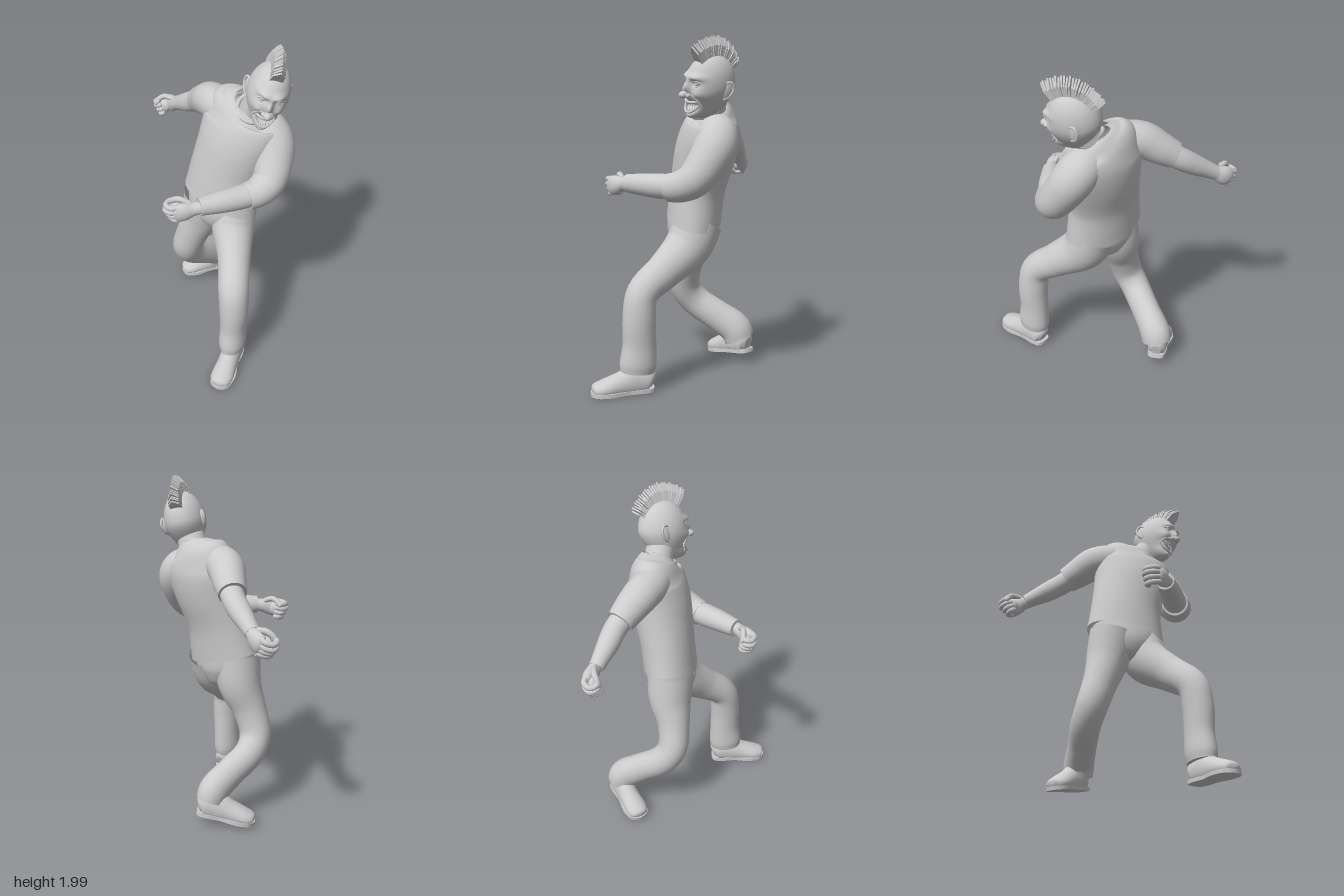
import * as THREE from 'three';
import { mergeVertices } from 'three/addons/utils/BufferGeometryUtils.js';

const grey = new THREE.MeshStandardMaterial({ color: 0xcccccc, side: THREE.DoubleSide });
const V = (a) => new THREE.Vector3(...a);

function add(parent, name, geometry, position = [0, 0, 0], scale = [1, 1, 1]) {
  const mesh = new THREE.Mesh(geometry, grey);
  mesh.name = name;
  mesh.position.set(...position);
  mesh.scale.set(...scale);
  parent.add(mesh);
  return mesh;
}

// Smooth skin through rows of [x, y, z, radiusAlongSide, radiusAcross]
function loft(rows, side, { caps = [0, 0], steps = 6, sides = 32, warp } = {}) {
  const path = new THREE.CatmullRomCurve3(rows.map((r) => V(r.slice(0, 3))));
  const radii = new THREE.CatmullRomCurve3(rows.map((r) => V([r[3], r[4] ?? r[3], 0])), false, 'catmullrom', 0.5);
  const n = (rows.length - 1) * steps;
  const pos = [], index = [];
  for (let i = 0; i <= n; i++) {
    const c = path.getPoint(i / n), r = radii.getPoint(i / n), t = path.getTangent(i / n);
    const u = V(side).addScaledVector(t, -t.dot(V(side))).normalize();
    const v = t.clone().cross(u);
    for (let j = 0; j < sides; j++) {
      const a = (j / sides) * Math.PI * 2;
      const p = c.clone().addScaledVector(u, r.x * Math.cos(a)).addScaledVector(v, r.y * Math.sin(a));
      if (warp) warp(p);
      pos.push(p.x, p.y, p.z);
    }
  }
  for (let i = 0; i < n; i++) {
    for (let j = 0; j < sides; j++) {
      const k = (j + 1) % sides, a = i * sides, b = a + sides;
      index.push(a + j, a + k, b + j, a + k, b + k, b + j);
    }
  }
  // End caps have their own ring so the rim stays sharp
  caps.forEach((on, end) => {
    if (!on) return;
    const ring = pos.slice(end * n * sides * 3, (end * n + 1) * sides * 3), base = pos.length / 3;
    const c = path.getPoint(end);
    if (warp) warp(c);
    pos.push(...ring, c.x, c.y, c.z);
    for (let j = 0; j < sides; j++) {
      const k = (j + 1) % sides;
      index.push(base + sides, base + (end ? j : k), base + (end ? k : j));
    }
  });
  const g = new THREE.BufferGeometry();
  g.setAttribute('position', new THREE.Float32BufferAttribute(pos, 3));
  g.setIndex(index);
  g.computeVertexNormals();
  return g;
}

const tube = (points, r, closed = false, segs = 20) =>
  new THREE.TubeGeometry(new THREE.CatmullRomCurve3(points.map(V), closed), segs, r, 10, closed);
const ball = (r = 1) => new THREE.SphereGeometry(r, 24, 16);

function makeHead() {
  const head = new THREE.Group();
  head.name = 'head';
  // Skull and face: a sphere pushed and pulled by soft bumps
  const g = new THREE.SphereGeometry(1, 96, 72);
  g.deleteAttribute('uv');
  g.deleteAttribute('normal');
  const skull = mergeVertices(g), p = skull.attributes.position;
  // centre x, centre y, radius x, radius y, push
  const bumps = [
    [0, -0.165, 0.055, 0.035, 0.065], [0, -0.1, 0.045, 0.026, -0.035],
    [0.04, 0.06, 0.036, 0.016, 0.024], [0.045, 0.028, 0.024, 0.016, -0.014],
    [0.066, -0.03, 0.028, 0.028, 0.016], [0, 0.0, 0.015, 0.034, 0.03],
    [0, 0.045, 0.02, 0.018, 0.006], [0.05, -0.13, 0.025, 0.04, 0.02],
  ];
  for (let i = 0; i < p.count; i++) {
    let x = p.getX(i), y = p.getY(i), z = p.getZ(i);
    const low = THREE.MathUtils.smoothstep(-y, 0, 1), front = THREE.MathUtils.smoothstep(z, 0.05, 0.4);
    x *= 0.12 * (1 - 0.22 * low);
    y *= y > 0 ? 0.175 : 0.19;
    z *= z < 0 ? 0.15 * (1 - 0.45 * low) : 0.15;
    for (const [cx, cy, rx, ry, push] of bumps) {
      z += front * push * Math.exp(-(((Math.abs(x) - cx) / rx) ** 2) - ((y - cy) / ry) ** 2);
    }
    p.setXYZ(i, x, y, z);
  }
  skull.computeVertexNormals();
  add(head, 'skull', skull);

  // Nose with nostrils
  add(head, 'noseTip', ball(), [0, -0.038, 0.178], [0.023, 0.02, 0.027]);
  for (const s of [-1, 1]) {
    add(head, 'nostril', ball(), [s * 0.02, -0.041, 0.163], [0.014, 0.013, 0.018]);
    // Eyes and lids
    add(head, 'eye', ball(0.018), [s * 0.045, 0.029, 0.117]);
    add(head, 'upperLid', tube([[s * 0.018, 0.028, 0.132], [s * 0.045, 0.043, 0.134], [s * 0.07, 0.03, 0.113]], 0.007));
    add(head, 'lowerLid', tube([[s * 0.022, 0.022, 0.13], [s * 0.045, 0.014, 0.131], [s * 0.068, 0.022, 0.114]], 0.005));
    add(head, 'smileFold', tube([[s * 0.026, -0.036, 0.146], [s * 0.054, -0.06, 0.124], [s * 0.064, -0.094, 0.102]], 0.008));
    // Ears: bowl with a rolled rim
    const ear = new THREE.Group();
    ear.name = 'ear';
    ear.position.set(s * 0.113, -0.01, -0.03);
    ear.rotation.set(-0.15, s * -0.25, 0);
    add(ear, 'earBowl', ball(), [0, 0, 0], [0.013, 0.05, 0.031]);
    add(ear, 'earRim', tube([[0, -0.05, 0.012], [s * 0.006, -0.03, -0.016], [s * 0.01, 0.015, -0.032],
      [s * 0.008, 0.048, -0.013], [0, 0.038, 0.022]], 0.008));
    head.add(ear);
  }

  // Grinning mouth
  const mouth = (a, k = 1) => {
    const x = 0.058 * k * Math.cos(a);
    return [x, -0.11 + 0.029 * k * Math.sin(a) + 8 * x * x, 0.146 - 11 * x * x];
  };
  const lip = Array.from({ length: 16 }, (_, i) => mouth((i / 16) * Math.PI * 2));
  add(head, 'lips', tube(lip, 0.0075, true, 48));
  for (const up of [1, -1]) {
    for (let i = 0; i < 9; i++) {
      const [x, y, z] = mouth(up * (0.4 + i * 0.293), 0.88);
      const tooth = add(head, 'tooth', new THREE.ConeGeometry(0.0075, 0.026, 8), [x, y - up * 0.008, z - 0.004]);
      if (up > 0) tooth.rotation.z = Math.PI;
    }
  }

  // Crest: a fan of thin pointed slats
  const count = 26;
  for (let i = 0; i < count; i++) {
    const f = i / (count - 1), a = 0.58 - f * 1.62;
    const h = 0.132 - 0.06 * Math.max(0, f - 0.45) + 0.005 * Math.sin(i * 2.4);
    const w = 0.038;
    const slat = new THREE.Shape([[-w, 0], [w, 0], [w * 0.85, h * 0.66], [0, h], [-w * 0.85, h * 0.66]]
      .map((q) => new THREE.Vector2(...q)));
    const geo = new THREE.ExtrudeGeometry(slat, { depth: 0.01, bevelEnabled: false });
    const m = add(head, 'crestSlat', geo, [0, 0.145 * Math.cos(a) - 0.008, 0.125 * Math.sin(a)]);
    m.rotation.set(a, 0.08 * Math.sin(i * 1.7), 0);
  }
  head.position.set(0.36, 1.73, -0.085);
  head.rotation.set(0.09, 0.35, -0.24, 'YXZ');
  return head;
}

// Half-closed fist; z runs along the forearm, y is the back of the hand
function makeHand(name, wrist, dir, up, s) {
  const hand = new THREE.Group();
  hand.name = name;
  add(hand, 'palm', loft([[0, 0, -0.03, 0.036, 0.036], [0, 0.002, 0.02, 0.042, 0.036], [0, 0.01, 0.07, 0.056, 0.038],
    [0, 0.01, 0.11, 0.056, 0.032], [0, 0.004, 0.128, 0.035, 0.018]], [1, 0, 0], { caps: [0, 1] }));
  add(hand, 'palmPad', ball(), [0, -0.024, 0.11], [0.045, 0.03, 0.045]);
  for (let i = 0; i < 4; i++) {
    const x = s * (0.042 - i * 0.028), k = 1 - 0.06 * Math.abs(i - 1);
    const pts = [[x, 0.016, 0.1], [x, 0.013, 0.145 * k], [x, -0.025, 0.172 * k], [x, -0.058, 0.15 * k], [x, -0.056, 0.115]];
    add(hand, 'finger', tube(pts, 0.0165));
    add(hand, 'fingertip', ball(0.0165), pts[4]);
  }
  const thumb = [[s * 0.035, -0.01, 0.03], [s * 0.06, -0.028, 0.075], [s * 0.052, -0.05, 0.11], [s * 0.035, -0.062, 0.13]];
  add(hand, 'thumb', tube(thumb, 0.017));
  add(hand, 'thumbTip', ball(0.017), thumb[3]);
  const z = V(dir).normalize(), x = V(up).addScaledVector(z, -z.dot(V(up))).normalize();
  hand.quaternion.setFromRotationMatrix(new THREE.Matrix4().makeBasis(x, z.clone().cross(x), z));
  hand.position.set(...wrist);
  return hand;
}

// Shoe with the heel at the origin and the toe along z
function makeShoe(name, length) {
  const shoe = new THREE.Group();
  shoe.name = name;
  const L = length;
  const upper = [[0, 0.05, 0.008, 0.03, 0.04], [0, 0.06, 0.03, 0.055, 0.075], [0, 0.065, L * 0.3, 0.06, 0.09],
    [0, 0.05, L * 0.55, 0.063, 0.068], [0, 0.035, L * 0.8, 0.068, 0.05], [0, 0.028, L * 0.94, 0.05, 0.036], [0, 0.024, L - 0.008, 0.01, 0.01]];
  add(shoe, 'upper', loft(upper, [1, 0, 0], { caps: [1, 1], warp: (p) => { p.y = Math.max(p.y, 0.012); } }));
  const outline = [[0, 0], [0.045, 0.012], [0.058, 0.07], [0.056, L * 0.42], [0.074, L * 0.72], [0.055, L * 0.93], [0, L]];
  const pts = [...outline, ...outline.slice(1, -1).reverse().map(([x, y]) => [-x, y])].map((q) => V([...q, 0]));
  const curve = new THREE.CatmullRomCurve3(pts, true).getPoints(60);
  const sole = new THREE.ExtrudeGeometry(new THREE.Shape(curve.slice(0, -1).map((q) => new THREE.Vector2(q.x, -q.y))),
    { depth: 0.022, bevelEnabled: false });
  sole.rotateX(-Math.PI / 2);
  add(shoe, 'sole', sole);
  return shoe;
}

export function createModel() {
  const model = new THREE.Group();
  model.name = 'stridingFigure';
  const yaw = [0.97, 0, 0.25];

  // Shirt body with a slanting hem, and collar
  const hemSlant = (p) => { p.y -= 0.13 * (p.x - 0.06) * THREE.MathUtils.clamp(1 - (p.y - 0.95) / 0.25, 0, 1); };
  add(model, 'shirt', loft([[0.105, 0.955, -0.065, 0.242, 0.16], [0.125, 1.15, -0.085, 0.222, 0.162],
    [0.175, 1.33, -0.112, 0.236, 0.178], [0.21, 1.46, -0.132, 0.252, 0.17], [0.222, 1.545, -0.138, 0.225, 0.142],
    [0.24, 1.59, -0.132, 0.155, 0.112], [0.25, 1.618, -0.125, 0.095, 0.09]], yaw, { sides: 48, warp: hemSlant }));
  const collar = add(model, 'collar', new THREE.TorusGeometry(0.09, 0.013, 10, 40), [0.275, 1.592, -0.1]);
  collar.quaternion.setFromUnitVectors(V([0, 0, 1]), V([0.22, 0.86, 0.45]).normalize());
  add(model, 'neck', loft([[0.26, 1.54, -0.13, 0.088], [0.295, 1.61, -0.11, 0.084], [0.345, 1.7, -0.09, 0.08]], yaw));
  model.add(makeHead());

  // Arms: short sleeve, snug forearm and fist
  add(model, 'rightSleeve', loft([[0.16, 1.53, -0.14, 0.095], [0.07, 1.525, -0.165, 0.103], [-0.025, 1.505, -0.235, 0.105],
    [-0.095, 1.45, -0.31, 0.093], [-0.15, 1.405, -0.365, 0.08]], [0, 1, 0], { caps: [0, 1] }));
  add(model, 'rightForearm', loft([[-0.1, 1.44, -0.32, 0.066], [-0.18, 1.375, -0.395, 0.066], [-0.25, 1.325, -0.437, 0.062],
    [-0.32, 1.28, -0.48, 0.05], [-0.365, 1.25, -0.507, 0.044]], [0, 1, 0], { caps: [0, 1] }));
  model.add(makeHand('rightHand', [-0.355, 1.255, -0.508], [-0.8, -0.44, -0.33], [0, 1, 0], 1));
  add(model, 'leftSleeve', loft([[0.27, 1.49, -0.14, 0.09], [0.345, 1.46, -0.13, 0.115], [0.4, 1.4, -0.105, 0.12], [0.425, 1.31, -0.05, 0.112],
    [0.425, 1.215, 0.025, 0.1], [0.385, 1.175, 0.095, 0.088], [0.335, 1.165, 0.145, 0.079]], [0.6, 0.3, 0.6], { caps: [0, 1] }));
  add(model, 'leftForearm', loft([[0.4, 1.18, 0.09, 0.066], [0.32, 1.17, 0.157, 0.071], [0.23, 1.17, 0.24, 0.066],
    [0.12, 1.17, 0.335, 0.053]], [0, 1, 0], { caps: [0, 1] }));
  model.add(makeHand('leftHand', [0.11, 1.165, 0.348], [-0.9, -0.17, 0.46], [0, -1, 0], -1));

  // Trousers: hips, then a forward left leg and a trailing right leg
  add(model, 'hips', loft([[0.09, 0.76, -0.06, 0.035, 0.05], [0.095, 0.79, -0.06, 0.11, 0.112], [0.1, 0.88, -0.06, 0.2, 0.15],
    [0.105, 1.0, -0.07, 0.205, 0.148]], yaw, { caps: [1, 1] }));
  add(model, 'leftTrouserLeg', loft([[0.2, 0.95, -0.07, 0.13, 0.142], [0.21, 0.81, -0.005, 0.132, 0.138], [0.275, 0.685, 0.15, 0.1, 0.107],
    [0.325, 0.57, 0.295, 0.092, 0.092], [0.34, 0.43, 0.318, 0.088, 0.095], [0.34, 0.28, 0.318, 0.08, 0.096],
    [0.34, 0.17, 0.326, 0.082, 0.106], [0.34, 0.12, 0.33, 0.074, 0.1]], [1, 0, 0], { caps: [0, 1] }));
  add(model, 'rightTrouserLeg', loft([[0.015, 0.95, -0.07, 0.14, 0.142], [-0.012, 0.79, -0.08, 0.13, 0.132], [-0.072, 0.63, -0.065, 0.104, 0.1],
    [-0.12, 0.48, -0.075, 0.095, 0.092], [-0.12, 0.385, -0.14, 0.088, 0.092], [-0.065, 0.29, -0.27, 0.083, 0.095],
    [-0.022, 0.21, -0.375, 0.088, 0.1], [-0.012, 0.15, -0.398, 0.084, 0.095]], [1, 0, 0], { caps: [0, 1] }));

  // Shoes
  const leftShoe = makeShoe('leftShoe', 0.365);
  leftShoe.position.set(0.345, 0.008, 0.235);
  leftShoe.rotation.x = 0.015;
  const rightShoe = makeShoe('rightShoe', 0.35);
  rightShoe.position.set(0.06, 0.075, -0.445);
  rightShoe.rotation.set(0.18, -1.1, 0, 'YXZ');
  model.add(leftShoe, rightShoe);
  return model;
}
